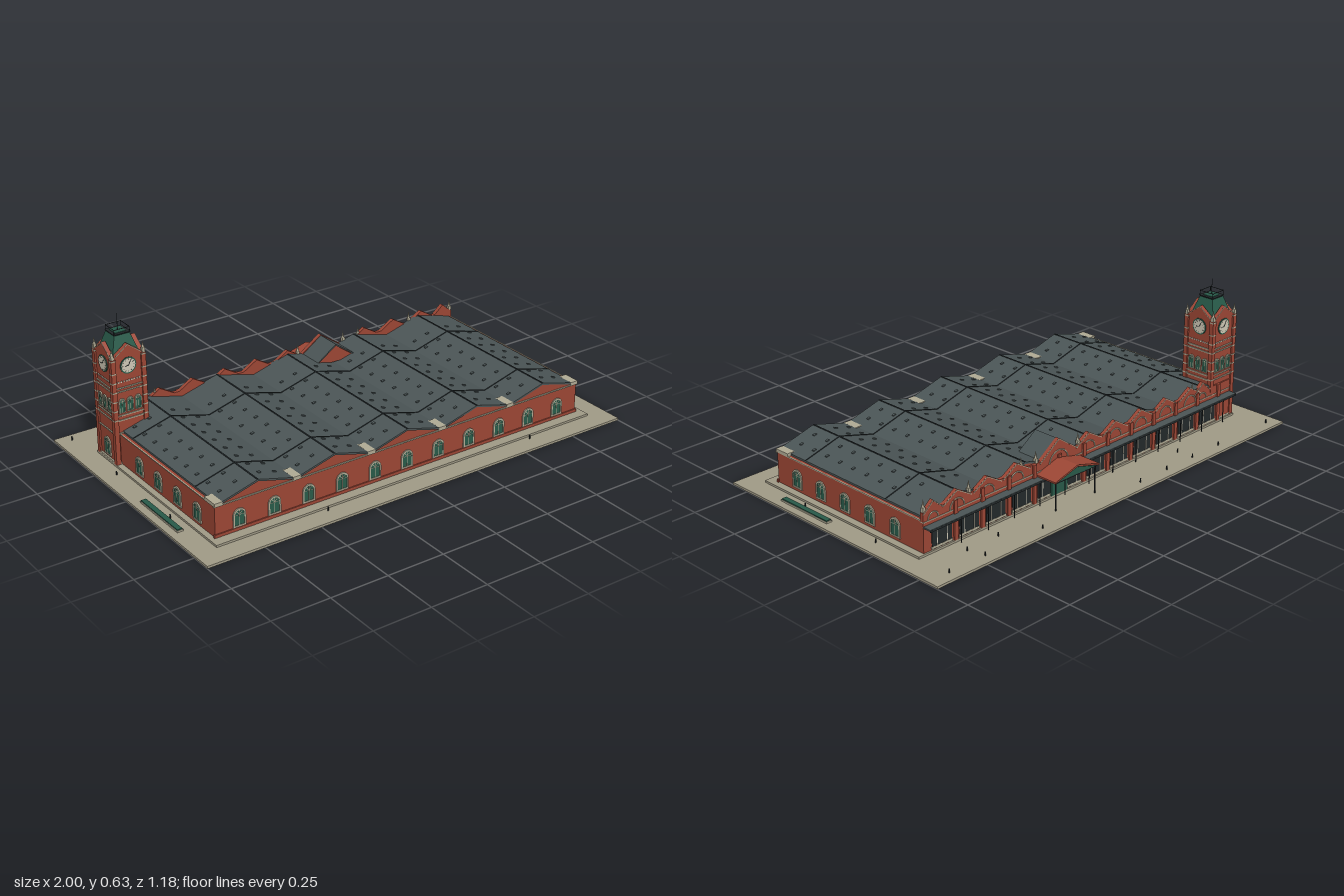
import * as THREE from 'three';

const material = (name, color, double) => {
  const m = new THREE.MeshStandardMaterial({ color });
  m.name = name;
  if (double) m.side = THREE.DoubleSide;
  return m;
};

export function createModel() {
  const brick = material('brick red', 0x9c4635);
  const stone = material('pale stone', 0xb0aa94);
  const paving = material('paving', 0xa09a86);
  const slate = material('slate', 0x4b5556);
  const green = material('bottle green', 0x285a49);
  const dark = material('dark iron', 0x23292b);
  const cream = material('cream', 0xcfc9b6);

  const root = new THREE.Group();
  root.name = 'marketHall';

  const add = (parent, name, geo, mat, x = 0, y = 0, z = 0) => {
    const m = new THREE.Mesh(geo, mat);
    m.name = name;
    m.position.set(x, y, z);
    parent.add(m);
    return m;
  };
  // y is the underside of the box
  const box = (parent, name, mat, w, h, d, x, y, z) =>
    add(parent, name, new THREE.BoxGeometry(w, h, d), mat, x, y + h / 2, z);
  const group = (parent, name, x, y, z, ry = 0) => {
    const g = new THREE.Group();
    g.name = name;
    g.position.set(x, y, z);
    g.rotation.y = ry;
    parent.add(g);
    return g;
  };
  const extrude = (shape, depth) =>
    new THREE.ExtrudeGeometry(shape, { depth, bevelEnabled: false, curveSegments: 8 });
  const poly = pts => new THREE.Shape(pts.map(p => new THREE.Vector2(p[0], p[1])));
  const arch = (w, h, base = 0) => {
    const s = new THREE.Shape();
    s.moveTo(-w / 2, base);
    s.lineTo(w / 2, base);
    s.lineTo(w / 2, h - w / 2);
    s.absarc(0, h - w / 2, w / 2, 0, Math.PI, false);
    s.closePath();
    return s;
  };
  // Round-headed window facing +z, with stone surround and glazing bars
  const archWindow = (parent, w, h, x, y, z) => {
    const g = group(parent, 'archWindow', x, y, z);
    const t = w * 0.12;
    const frame = arch(w, h);
    frame.holes.push(arch(w - 2 * t, h - t, t));
    add(g, 'windowSurround', extrude(frame, 0.005), stone);
    add(g, 'windowPane', extrude(arch(w - 2 * t, h - t, t), 0.003), green);
    box(g, 'mullion', stone, w * 0.045, h - 2 * t, 0.001, 0, t, 0.0035);
    box(g, 'transom', stone, w - 2 * t, h * 0.025, 0.001, 0, h - w / 2, 0.0035);
    for (const s of [-1, 1]) {
      const bar = box(g, 'fanBar', stone, w * 0.045, w * 0.4, 0.001, s * w * 0.14, h - w / 2, 0.0035);
      bar.rotation.z = -s * Math.PI / 4;
    }
  };
  const finial = (parent, x, y, z, h) => {
    box(parent, 'finialBase', stone, 0.013, h * 0.4, 0.013, x, y, z);
    add(parent, 'finialSpike', new THREE.ConeGeometry(0.006, h * 0.6, 8), stone, x, y + h * 0.7, z);
  };

  // Ground
  box(root, 'pavement', paving, 2, 0.01, 1.185, 0, 0, -0.0025);
  box(root, 'plinth', paving, 1.815, 0.009, 0.9, 0.0025, 0.01, 0.05);

  // Hall body with five gables, and the folded slate roof over it
  const pitch = 0.346, edge = pitch * 2.5, zBack = -0.385, zFront = 0.455;
  const fold = [];
  for (let i = 0; i <= 10; i++) fold.push([-edge + i * pitch / 2, i % 2 ? 0.197 : 0.15]);
  const bodyShape = poly([[-0.88, 0.015], [0.88, 0.015], [0.88, 0.15], ...fold.slice().reverse(), [-0.88, 0.15]]);
  add(root, 'hallWalls', extrude(bodyShape, zFront - zBack - 0.004), brick, 0, 0, zBack);
  const roofShape = poly([...fold, ...fold.slice().reverse().map(p => [p[0], p[1] + 0.008])]);
  add(root, 'hallRoof', extrude(roofShape, zFront - zBack), slate, 0, 0, zBack);
  box(root, 'frontCornice', stone, 1.77, 0.005, 0.008, 0, 0.147, zFront - 0.003);
  box(root, 'frontBase', brick, 1.77, 0.014, 0.008, 0, 0.018, zFront - 0.003);
  for (let i = 0; i <= 5; i++)
    box(root, 'valleyBlock', stone, 0.035, 0.015, 0.072, -edge + i * pitch, 0.148, 0.42);

  // Ridge caps, cross seams and small roof vents
  const slope = Math.atan2(0.047, pitch / 2);
  const len = Math.hypot(0.047, pitch / 2);
  for (let i = 0; i < 5; i++) {
    const xr = -edge + (i + 0.5) * pitch;
    box(root, 'ridgeCap', dark, 0.006, 0.004, 0.84, xr, 0.202, 0.035);
    for (const s of [-1, 1]) {
      const g = group(root, 'roofSlope', xr + s * pitch / 4, 0.1815, 0);
      g.rotation.z = -s * slope;
      for (const z of [-0.17, 0.295]) box(g, 'roofSeam', dark, len, 0.002, 0.005, 0, 0, z);
      for (let r = 0; r < 9; r++)
        for (const u of [-0.045, 0.025]) box(g, 'roofVent', slate, 0.014, 0.004, 0.01, u, 0, -0.23 + r * 0.078);
    }
  }

  // Front and side windows
  for (let i = -5; i <= 5; i++) archWindow(root, 0.056, 0.077, i * 0.155, 0.034, zFront - 0.004);
  for (const s of [-1, 1]) {
    const side = group(root, 'sideWall', s * 0.88, 0, 0, s * Math.PI / 2);
    for (let i = 0; i < 5; i++) {
      const z = 0.33 - i * 0.1425;
      if (s < 0 && z < -0.2) continue;
      archWindow(side, 0.056, 0.08, -s * z, 0.033, 0);
    }
    box(side, 'sideCornice', stone, 0.83, 0.004, 0.005, -s * 0.035, 0.148, 0);
  }

  // Street facade along the back, seen from -z: local x is mirrored
  const back = group(root, 'streetFacade', 0, 0, -0.385, Math.PI);
  box(back, 'parapet', brick, 1.76, 0.165, 0.016, 0, 0.018, 0);
  const gable = (x, half, top) => {
    add(back, 'parapetGable', extrude(poly([[-half, 0.17], [half, 0.17], [half, 0.178], [0, top], [-half, 0.178]]), 0.016),
      brick, -x, 0, -0.008);
    const rise = top - 0.178;
    for (const s of [-1, 1]) {
      const cope = box(back, 'gableCoping', stone, Math.hypot(half, rise), 0.003, 0.003, -x + s * half / 2, 0.174 + rise / 2, 0.009);
      cope.rotation.z = -s * Math.atan2(rise, half);
    }
    const ring = new THREE.TorusGeometry(half * 0.5, 0.003, 6, 14, Math.PI);
    add(back, 'archMoulding', ring, stone, -x, 0.148, 0.008);
  };
  for (const x of [-0.7, -0.62, -0.465, -0.31, -0.155, 0, 0.4, 0.555, 0.71, 0.83])
    gable(x, Math.abs(x) > 0.69 && x !== 0.71 ? 0.05 : 0.073, 0.221);
  gable(0.17, 0.105, 0.25);
  for (const x of [-0.64, 0.055, 0.29, 0.37, 0.645, 0.872]) finial(back, -x, 0.18, 0, 0.055);
  box(back, 'parapetBand', stone, 1.76, 0.004, 0.02, 0, 0.142, 0);
  box(back, 'awning', slate, 1.76, 0.006, 0.04, 0, 0.122, 0.026);
  box(back, 'awningEdge', dark, 1.76, 0.008, 0.003, 0, 0.118, 0.045);

  // Shopfronts under the awning
  for (let i = 0; i < 12; i++) {
    const x = -0.79 + i * 0.1385;
    box(back, 'shopWindow', dark, 0.1, 0.062, 0.003, x, 0.032, 0.009);
    box(back, 'shopFascia', cream, 0.106, 0.012, 0.005, x, 0.096, 0.009);
    box(back, 'shopSill', stone, 0.106, 0.01, 0.005, x, 0.022, 0.009);
    for (const u of [-0.025, 0.025]) box(back, 'shopMullion', cream, 0.003, 0.062, 0.002, x + u, 0.032, 0.011);
    box(back, 'pier', brick, 0.018, 0.165, 0.012, x + 0.069, 0.018, 0.009);
    box(back, 'awningPost', dark, 0.003, 0.104, 0.003, x + 0.069, 0.018, 0.04);
  }

  // Cross gable roof behind the large parapet gable
  const cross = poly([[-0.105, 0.165], [0.105, 0.165], [0, 0.24]]);
  add(root, 'crossGable', extrude(cross, 0.108), brick, 0.17, 0, -0.38);
  const crossRoof = poly([[-0.105, 0.168], [0, 0.24], [0.105, 0.168], [0.105, 0.174], [0, 0.247], [-0.105, 0.174]]);
  add(root, 'crossRoof', extrude(crossRoof, 0.117), slate, 0.17, 0, -0.384);

  // Entrance porch
  const porch = group(root, 'entrancePorch', 0.172, 0, -0.445);
  const porchRoof = poly([[-0.123, 0.13], [0, 0.163], [0.123, 0.13], [0.123, 0.137], [0, 0.171], [-0.123, 0.137]]);
  add(porch, 'porchRoof', extrude(porchRoof, 0.105), brick, 0, 0, -0.05);
  add(porch, 'porchPediment', extrude(poly([[-0.11, 0.13], [0.11, 0.13], [0, 0.161]]), 0.004), green, 0, 0, -0.046);
  box(porch, 'porchBeam', dark, 0.235, 0.005, 0.006, 0, 0.127, -0.043);
  for (const s of [-1, 1]) {
    box(porch, 'porchSideBeam', dark, 0.005, 0.005, 0.09, s * 0.113, 0.127, 0);
    add(porch, 'porchPost', new THREE.CylinderGeometry(0.003, 0.003, 0.12, 8), dark, s * 0.11, 0.07, -0.04);
  }
  box(porch, 'entranceDoor', green, 0.09, 0.08, 0.006, 0, 0.02, 0.046);

  // Clock tower
  const tower = group(root, 'clockTower', -0.828, 0, -0.317);
  box(tower, 'towerShaft', brick, 0.14, 0.465, 0.14, 0, 0.015, 0);
  for (const y of [0.15, 0.205, 0.225, 0.328, 0.343])
    box(tower, 'stringCourse', stone, 0.149, 0.005, 0.149, 0, y, 0);
  box(tower, 'towerBase', stone, 0.153, 0.012, 0.153, 0, 0.015, 0);
  for (let k = 0; k < 4; k++) {
    const f = group(tower, 'towerFace', 0, 0, 0, k * Math.PI / 2);
    // corner pier, with stone bands and finial
    box(f, 'cornerPier', brick, 0.02, 0.455, 0.02, 0.067, 0.018, 0.067);
    for (const y of [0.21, 0.25, 0.29, 0.33, 0.37, 0.41, 0.465])
      box(f, 'pierBand', stone, 0.0215, 0.005, 0.0215, 0.067, y, 0.067);
    finial(f, 0.069, 0.472, 0.069, 0.05);
    // belfry windows and dentils
    for (let i = -1; i <= 1; i++) archWindow(f, 0.029, 0.062, i * 0.036, 0.238, 0.07);
    for (let i = -4; i <= 4; i++) box(f, 'dentil', cream, 0.006, 0.006, 0.004, i * 0.0115, 0.368, 0.071);
    if (k % 2 === 0 || k === 3) archWindow(f, 0.05, 0.08, 0, 0.035, 0.07);
    // gable over the clock
    add(f, 'towerGable', extrude(poly([[-0.065, 0.47], [0.065, 0.47], [0.058, 0.482], [0, 0.526], [-0.058, 0.482]]), 0.016),
      brick, 0, 0, 0.056);
    for (const s of [-1, 1]) {
      const cope = box(f, 'towerCoping', stone, 0.073, 0.003, 0.004, s * 0.029, 0.5005, 0.072);
      cope.rotation.z = -s * Math.atan2(0.044, 0.058);
    }
    // clock
    const clock = group(f, 'clock', 0, 0.435, 0.071);
    const disc = (name, r, mat, z) => {
      add(clock, name, new THREE.CylinderGeometry(r, r, 0.004, 28), mat, 0, 0, z).rotation.x = Math.PI / 2;
    };
    disc('clockRim', 0.035, green, 0);
    disc('clockDial', 0.03, cream, 0.001);
    for (let h = 0; h < 12; h++) {
      const a = h * Math.PI / 6;
      add(clock, 'hourMark', new THREE.BoxGeometry(0.0015, 0.005, 0.001), dark, Math.sin(a) * 0.025, Math.cos(a) * 0.025, 0.0032)
        .rotation.z = -a;
    }
    for (const [a, l] of [[0.5, 0.021], [-1.7, 0.016]])
      add(clock, 'clockHand', new THREE.BoxGeometry(0.0025, l, 0.001), dark, Math.sin(a) * l / 2, Math.cos(a) * l / 2, 0.0035)
        .rotation.z = -a;
    // roof-top railing
    box(f, 'railing', dark, 0.07, 0.002, 0.002, 0, 0.575, 0.034);
    box(f, 'railPost', dark, 0.002, 0.022, 0.002, 0.034, 0.556, 0.034);
  }
  const square = (name, top, bottom, h, mat, y) =>
    add(tower, name, new THREE.CylinderGeometry(top * Math.SQRT2, bottom * Math.SQRT2, h, 4).toNonIndexed(), mat, 0, y + h / 2, 0)
      .rotation.y = Math.PI / 4;
  square('towerRoof', 0.033, 0.058, 0.077, green, 0.478);
  square('towerRoofCap', 0.037, 0.035, 0.005, dark, 0.552);
  square('towerRoofDeck', 0.024, 0.024, 0.002, green, 0.557);
  add(tower, 'mast', new THREE.CylinderGeometry(0.001, 0.0015, 0.07, 6), dark, 0, 0.592, 0);
  for (const m of tower.children) if (/^towerRoof/.test(m.name)) m.geometry.computeVertexNormals();

  // Planters beside the hall
  for (const s of [-1, 1]) {
    box(root, 'planter', stone, 0.026, 0.007, 0.274, s * 0.955, 0.01, 0.19);
    box(root, 'hedge', green, 0.022, 0.005, 0.268, s * 0.955, 0.016, 0.19);
    for (const [x, z] of [[0.935, -0.19], [0.935, 0.22]])
      add(root, 'bollard', new THREE.CylinderGeometry(0.003, 0.003, 0.016, 6), dark, s * x, 0.018, z);
  }
  // Bollards on the pavement
  for (const [x, z] of [[-0.94, -0.55], [-0.62, -0.55], [-0.455, -0.55], [-0.295, -0.55], [-0.135, -0.55], [0.42, -0.55],
    [0.72, -0.55], [0.9, -0.55], [-0.45, -0.475], [0.58, -0.475], [0.74, -0.475], [-0.42, 0.515], [0.58, 0.515]])
    add(root, 'bollard', new THREE.CylinderGeometry(0.003, 0.003, 0.016, 6), dark, x, 0.018, z);

  return root;
}
